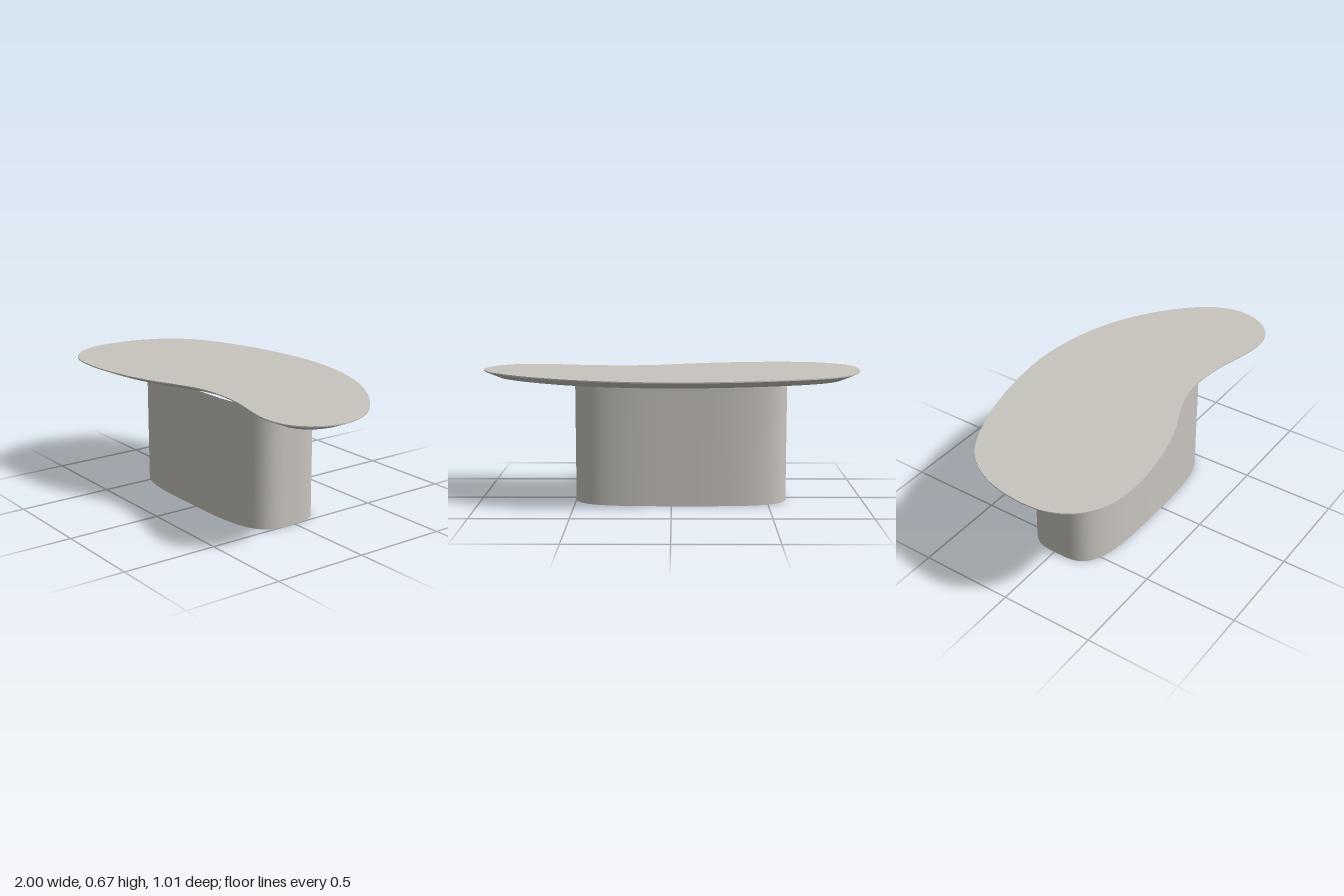
import * as THREE from 'three';

// Wall between two closed outlines (arrays of [x, z]) at two heights
function wall(low, yLow, high, yHigh) {
  const n = low.length, pos = [], idx = [];
  low.forEach(([x, z]) => pos.push(x, yLow, z));
  high.forEach(([x, z]) => pos.push(x, yHigh, z));
  for (let i = 0; i < n; i++) {
    const j = (i + 1) % n;
    idx.push(i, n + i, j, j, n + i, n + j);
  }
  const g = new THREE.BufferGeometry();
  g.setAttribute('position', new THREE.Float32BufferAttribute(pos, 3));
  g.setIndex(idx);
  g.computeVertexNormals();
  return g;
}

// Flat face filling an outline, facing up or down
function cap(outline, y, up) {
  const s = up ? -1 : 1;
  const shape = new THREE.Shape(outline.map(([x, z]) => new THREE.Vector2(x, s * z)));
  return new THREE.ShapeGeometry(shape).rotateX(s * Math.PI / 2).translate(0, y, 0);
}

// Smooth kidney outline of the top, with an optional inset
function kidney(inset) {
  const pts = [
    [0, -0.507], [0.25, -0.48], [0.5, -0.4], [0.7, -0.285], [0.85, -0.16], [0.955, -0.03],
    [1, 0.12], [0.97, 0.25], [0.9, 0.335], [0.82, 0.37], [0.72, 0.375], [0.6, 0.353],
    [0.45, 0.316], [0.27, 0.298], [0.12, 0.314], [0, 0.356], [-0.15, 0.42], [-0.35, 0.475],
    [-0.6, 0.503], [-0.8, 0.475], [-0.92, 0.39], [-0.985, 0.27], [-1, 0.15], [-0.98, -0.02],
    [-0.92, -0.17], [-0.81, -0.29], [-0.6, -0.395], [-0.3, -0.477],
  ];
  const curve = new THREE.CatmullRomCurve3(pts.map(([x, z]) => new THREE.Vector3(x, 0, z)), true);
  return Array.from({ length: 168 }, (_, i) => {
    const p = curve.getPoint(i / 168), t = curve.getTangent(i / 168);
    return [p.x - t.z * inset, p.z + t.x * inset];
  });
}

// Soft-cornered oblong outline of the pedestal
function oblong(cx, cz, a, b, power) {
  const soft = (v) => Math.sign(v) * Math.abs(v) ** (2 / power);
  return Array.from({ length: 128 }, (_, i) => {
    const t = i / 128 * Math.PI * 2;
    return [cx + a * soft(Math.sin(t)), cz - b * soft(Math.cos(t))];
  });
}

export function createModel() {
  const model = new THREE.Group();
  model.name = 'coffeeTable';
  const stone = new THREE.MeshStandardMaterial({ color: 0xc8c4be });
  stone.name = 'warmGrey';

  const addPart = (name, faces) => {
    const part = new THREE.Group();
    part.name = name;
    for (const [label, geometry] of Object.entries(faces)) {
      const mesh = new THREE.Mesh(geometry, stone);
      mesh.name = label;
      part.add(mesh);
    }
    model.add(part);
  };

  // Thin top with an undercut bevel all round
  const rim = kidney(0), under = kidney(0.078);
  addPart('tableTop', {
    topSurface: cap(rim, 0.674, true),
    topEdge: wall(rim, 0.668, rim, 0.674),
    undercutBevel: wall(under, 0.635, rim, 0.668),
    underside: cap(under, 0.635, false),
  });

  // Solid pedestal
  const foot = oblong(-0.05, 0.02, 0.553, 0.238, 3.5);
  addPart('pedestal', {
    pedestalWall: wall(foot, 0, foot, 0.635),
    pedestalBottom: cap(foot, 0, false),
  });
  return model;
}
